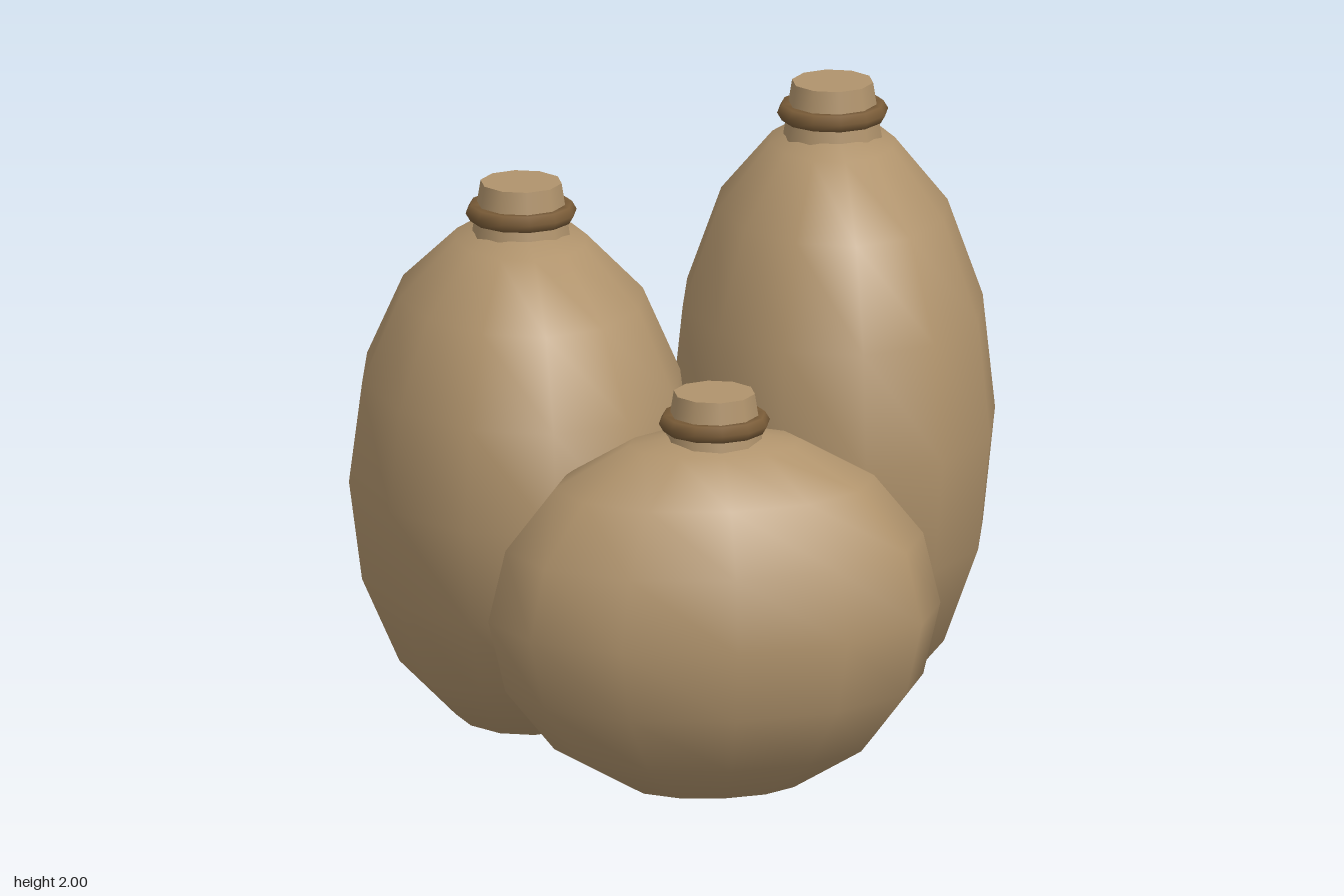
import * as THREE from 'three';

const burlap = new THREE.MeshStandardMaterial({ color: 0xb0936c });
burlap.name = 'burlap';
const rope = new THREE.MeshStandardMaterial({ color: 0x7a5c38 });
rope.name = 'rope';

// One filled sack: squashed sphere body, tapered neck and a rope tie
function makeSack(name, [x, y, z], [rx, ry, rz]) {
  const sack = new THREE.Group();
  sack.name = name;
  sack.position.set(x, y, z);

  const body = new THREE.Mesh(new THREE.SphereGeometry(1, 12, 8), burlap);
  body.name = 'body';
  body.scale.set(rx, ry, rz);

  const neckHeight = 0.19;
  const neck = new THREE.Mesh(new THREE.CylinderGeometry(0.125, 0.155, neckHeight, 10), burlap);
  neck.name = 'neck';
  neck.position.y = ry + 0.115 - neckHeight / 2;

  const tie = new THREE.Mesh(new THREE.TorusGeometry(0.142, 0.029, 6, 12).rotateX(Math.PI / 2), rope);
  tie.name = 'ropeTie';
  tie.position.y = ry + 0.022;

  sack.add(body, neck, tie);
  return sack;
}

export function createModel() {
  const model = new THREE.Group();
  model.name = 'sackPile';
  model.add(
    makeSack('tallSack', [0.5, 0.945, -0.338], [0.5, 0.94, 0.662]),
    makeSack('mediumSack', [-0.47, 0.818, -0.268], [0.53, 0.812, 0.697]),
    makeSack('smallSack', [0, 0.59, 0.532], [0.696, 0.583, 0.468])
  );
  return model;
}
